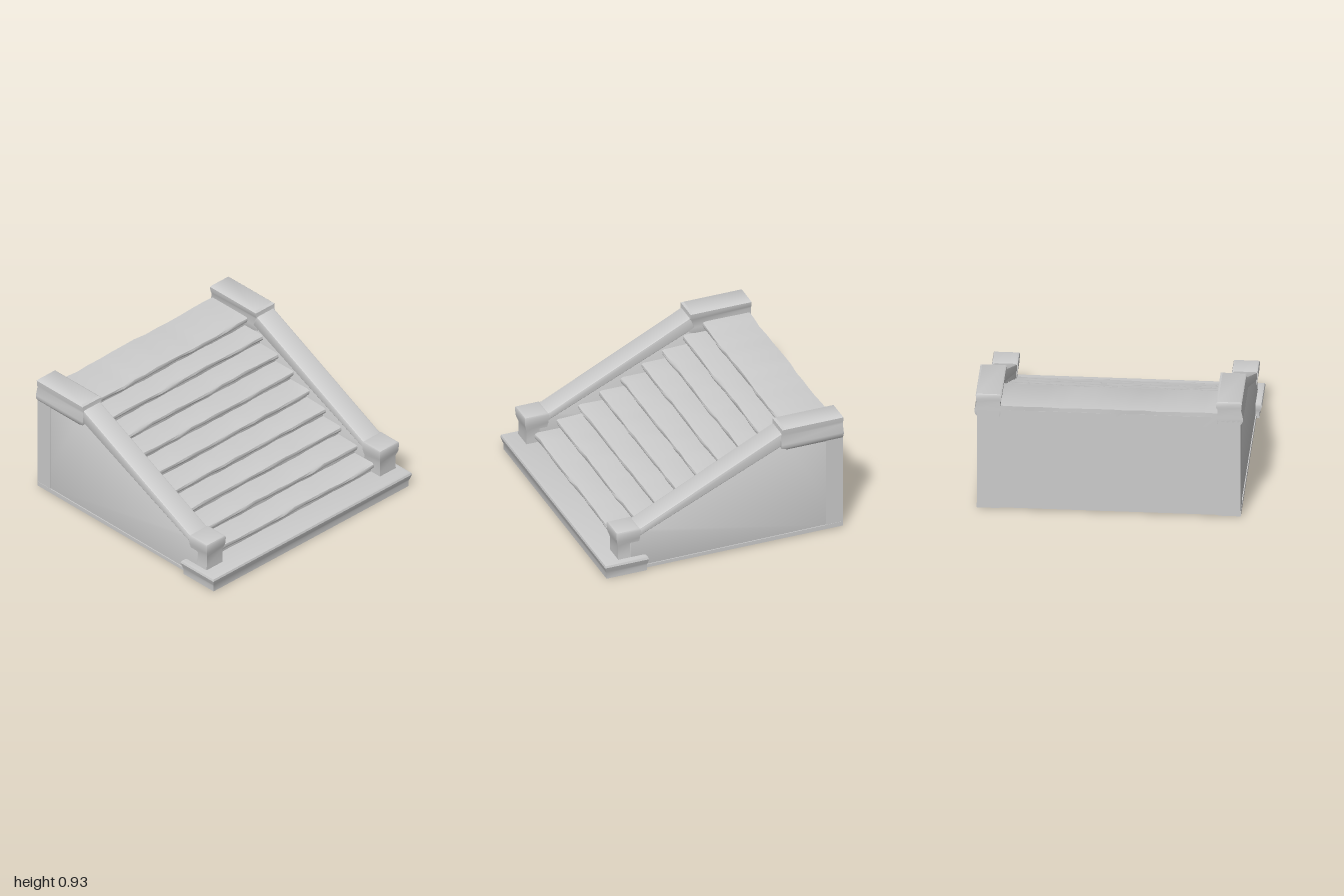
import * as THREE from 'three';
import { toCreasedNormals } from 'three/addons/utils/BufferGeometryUtils.js';

const material = new THREE.MeshStandardMaterial({ color: 0xcccccc });

function addMesh(parent, name, geometry, crease = 0.7) {
  const mesh = new THREE.Mesh(toCreasedNormals(geometry, crease), material);
  mesh.name = name;
  parent.add(mesh);
  return mesh;
}

// Extrude a (z, y) outline across x, from x0 to x1
function extrudeAcross(points, x0, x1, bevel = 0, steps = 1) {
  const shape = new THREE.Shape(points.map(([z, y]) => new THREE.Vector2(z, y)));
  const g = new THREE.ExtrudeGeometry(shape, {
    depth: x1 - x0 - 2 * bevel, steps, bevelEnabled: bevel > 0,
    bevelThickness: bevel, bevelSize: bevel, bevelOffset: -bevel, bevelSegments: 2,
  });
  g.rotateY(-Math.PI / 2);
  g.translate(x1 - bevel, 0, 0);
  return g;
}

// Stack of rectangular sections [y, x0, x1, z0, z1], closed at both ends
function loft(sections) {
  const pos = [], idx = [];
  for (const [y, x0, x1, z0, z1] of sections) {
    pos.push(x0, y, z1, x1, y, z1, x1, y, z0, x0, y, z0);
  }
  for (let i = 0; i < sections.length - 1; i++) {
    for (let k = 0; k < 4; k++) {
      const a = i * 4 + k, b = i * 4 + (k + 1) % 4;
      idx.push(a, b, b + 4, a, b + 4, a + 4);
    }
  }
  const t = (sections.length - 1) * 4;
  idx.push(0, 2, 1, 0, 3, 2, t, t + 1, t + 2, t, t + 2, t + 3);
  const g = new THREE.BufferGeometry();
  g.setAttribute('position', new THREE.Float32BufferAttribute(pos, 3));
  g.setIndex(idx);
  return g;
}

// Gentle unevenness of worn stone, a pure function of position
function wear(g, amount) {
  const p = g.attributes.position;
  for (let i = 0; i < p.count; i++) {
    const x = p.getX(i), y = p.getY(i), z = p.getZ(i);
    p.setY(i, y + amount * Math.sin(x * 9 + z * 23) * Math.cos(x * 17 - z * 31));
    p.setZ(i, z + amount * Math.sin(x * 13 + y * 41) * Math.cos(x * 5 + y * 19));
  }
  return g;
}

export function createModel() {
  const group = new THREE.Group();

  // Flight of treads with rounded nosings over recessed risers
  const flight = new THREE.Group();
  flight.name = 'stairs';
  group.add(flight);
  const fronts = [0.75, 0.58, 0.41, 0.25, 0.085, -0.08, -0.24, -0.4, -0.55];
  fronts.forEach((z, i) => {
    const top = 0.12 + 0.079 * (i + 1);
    const last = i === fronts.length - 1;
    const back = last ? -0.915 : z - 0.22;
    const bottom = top - 0.11;
    const outline = [
      [back, bottom], [z - 0.035, bottom], [z - 0.03, top - 0.047], [z - 0.006, top - 0.04],
      [z, top - 0.025], [z - 0.004, top - 0.008], [z - 0.02, top], [back, top],
    ];
    addMesh(flight, last ? 'landing' : 'tread', wear(extrudeAcross(outline, -0.8, 0.8, 0, 14), 0.005));
  });

  // Wide bottom step with an overhanging lip
  addMesh(group, 'bottomStep', loft([
    [0, -0.97, 0.97, 0.6, 0.912], [0.045, -0.97, 0.97, 0.6, 0.912],
    [0.065, -0.978, 0.978, 0.595, 0.92], [0.1, -0.99, 0.99, 0.59, 0.93],
    [0.115, -0.985, 0.985, 0.595, 0.925], [0.12, -0.965, 0.965, 0.61, 0.905],
  ]), 0.6);

  // Solid core closing the back and underside
  addMesh(group, 'core', extrudeAcross(
    [[-0.918, 0.01], [0.7, 0.01], [0.7, 0.1], [-0.6, 0.74], [-0.918, 0.8]], -0.85, 0.85));

  for (const side of [1, -1]) {
    const wing = new THREE.Group();
    wing.name = side > 0 ? 'leftBalustrade' : 'rightBalustrade';
    group.add(wing);
    const range = (a, b) => (side > 0 ? [a, b] : [-b, -a]);
    const post = rows => loft(rows.map(([y, a, b, z0, z1]) => [y, ...range(a, b), z0, z1]));

    // Sloping side wall
    addMesh(wing, 'sideWall', extrudeAcross(
      [[-0.915, 0.01], [0.72, 0.01], [0.72, 0.33], [0.64, 0.345], [-0.47, 0.88], [-0.915, 0.89]],
      ...range(0.785, 0.943), 0.01));
    // Coping along the slope
    addMesh(wing, 'coping', extrudeAcross(
      [[0.7, 0.26], [0.68, 0.34], [0.63, 0.352], [-0.46, 0.888], [-0.5, 0.8]],
      ...range(0.777, 0.95), 0.012));
    // Thin plinth along the foot of the wall
    addMesh(wing, 'plinth', extrudeAcross(
      [[-0.925, 0.01], [0.62, 0.01], [0.62, 0.035], [-0.925, 0.045]], ...range(0.8, 0.95)));

    // Front post with a flared cap
    addMesh(wing, 'frontPost', post([
      [0.1, 0.785, 0.945, 0.62, 0.81], [0.15, 0.785, 0.94, 0.64, 0.81],
      [0.23, 0.785, 0.94, 0.65, 0.81], [0.275, 0.772, 0.953, 0.645, 0.825],
      [0.335, 0.768, 0.958, 0.64, 0.83], [0.347, 0.772, 0.953, 0.645, 0.825],
      [0.352, 0.79, 0.94, 0.66, 0.81],
    ]));

    // Rear corner pier
    addMesh(wing, 'rearPier', post([
      [0.01, 0.785, 0.948, -0.93, -0.8], [0.72, 0.785, 0.948, -0.93, -0.8],
      [0.8, 0.785, 0.948, -0.93, -0.8],
    ]));
    // Moulding and cap block at the top of the slope
    addMesh(wing, 'topCap', post([
      [0.745, 0.785, 0.945, -0.925, -0.5], [0.77, 0.78, 0.963, -0.93, -0.45],
      [0.8, 0.778, 0.966, -0.93, -0.445], [0.865, 0.782, 0.952, -0.928, -0.45],
      [0.885, 0.772, 0.955, -0.93, -0.455], [0.92, 0.77, 0.957, -0.93, -0.457],
      [0.93, 0.785, 0.945, -0.925, -0.475],
    ]));
  }
  return group;
}
